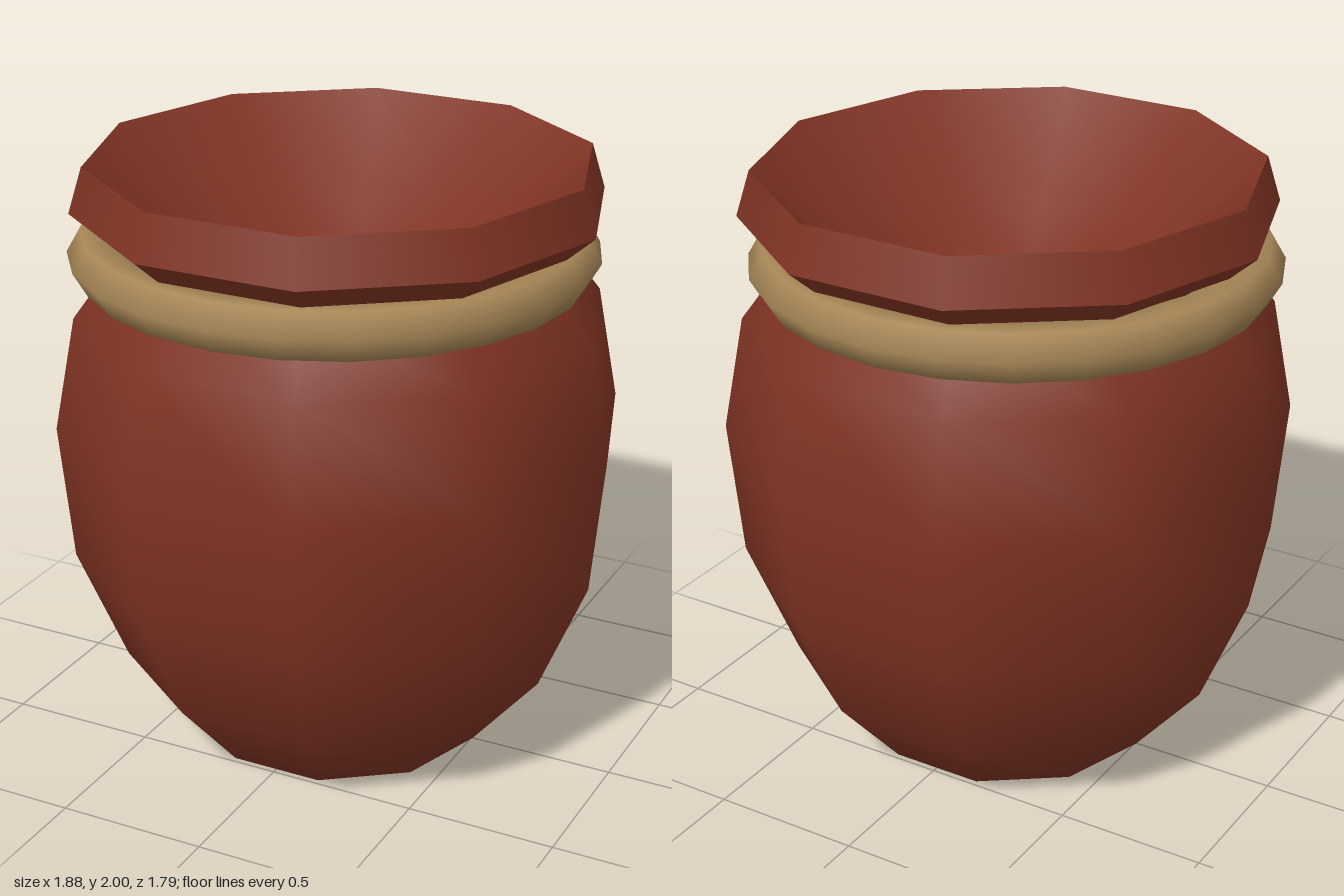
import * as THREE from 'three';

const SIDES = 10;

function material(name, color) {
  const m = new THREE.MeshStandardMaterial({ color });
  m.name = name;
  return m;
}

// Ten-sided turned surface with a corner on the x axis
function turned(name, profile, mat) {
  const points = profile.map(([r, y]) => new THREE.Vector2(r, y));
  const geometry = new THREE.LatheGeometry(points, SIDES, Math.PI / 2);
  geometry.normalizeNormals();
  const mesh = new THREE.Mesh(geometry, mat);
  mesh.name = name;
  return mesh;
}

export function createModel() {
  const clay = material('red brown clay', 0x7f3323);
  const rope = material('tan rope', 0xa58555);
  const pot = new THREE.Group();
  pot.name = 'pot';

  // Body, smooth from the closed base up to the neck
  pot.add(turned('body', [
    [0, 0], [0.505, 0], [0.735, 0.27], [0.897, 0.66],
    [0.94, 1.12], [0.868, 1.5], [0.71, 1.71],
  ], clay));

  // Collar: flared underside and sloping rim, with sharp edges between them
  pot.add(turned('collarUnderside', [[0.71, 1.71], [0.868, 1.85]], clay));
  pot.add(turned('rim', [[0.868, 1.85], [0.822, 2]], clay));

  // Shallow dished hollow
  pot.add(turned('inside', [[0.822, 2], [0.5, 1.72], [0.15, 1.53], [0, 1.5]], clay));

  // Rope ring around the neck, slightly off centre
  const ring = new THREE.Mesh(new THREE.TorusGeometry(0.772, 0.09, 6, 24), rope);
  ring.name = 'neckRope';
  ring.rotation.x = Math.PI / 2;
  ring.position.set(-0.022, 1.692, 0);
  pot.add(ring);

  return pot;
}
